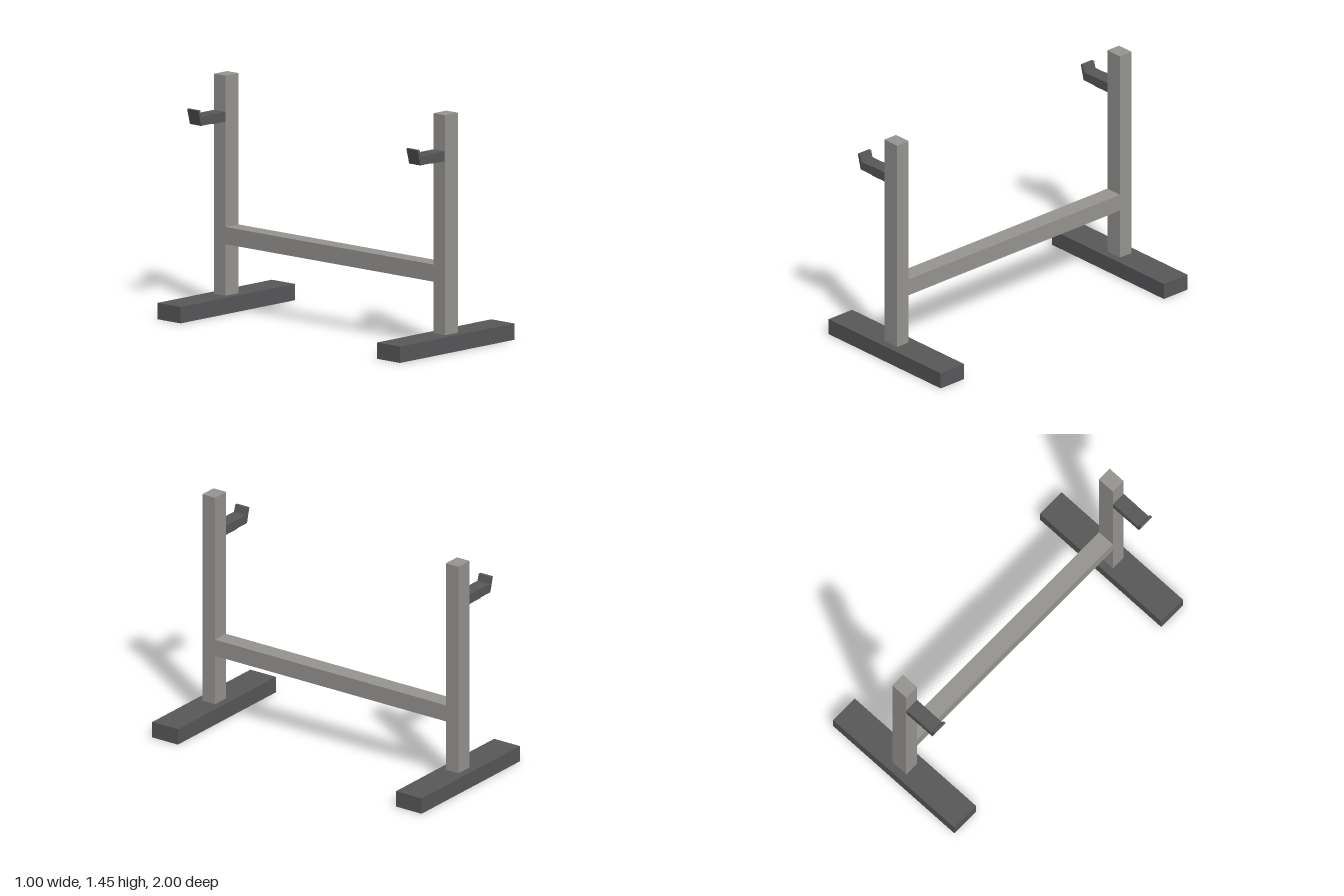
import * as THREE from 'three';

const steel = new THREE.MeshStandardMaterial({ color: 0x979592 });
steel.name = 'light grey steel';
const dark = new THREE.MeshStandardMaterial({ color: 0x58585a, side: THREE.DoubleSide });
dark.name = 'dark grey';

// Box given by its minimum and maximum corners
function box(name, material, [x0, y0, z0], [x1, y1, z1]) {
  const mesh = new THREE.Mesh(new THREE.BoxGeometry(x1 - x0, y1 - y0, z1 - z0), material);
  mesh.position.set((x0 + x1) / 2, (y0 + y1) / 2, (z0 + z1) / 2);
  mesh.name = name;
  return mesh;
}

// Foot: a thin shell, open underneath
function foot() {
  const mesh = box('foot', dark, [-0.5, 0, -0.095], [0.5, 0.1, 0.095]);
  const index = [...mesh.geometry.index.array];
  index.splice(18, 6); // drop the bottom face
  mesh.geometry.setIndex(index);
  return mesh;
}

// Hook: side profile with a slanted lip, extruded across the post
function hook() {
  const profile = [[-0.057, 1.164], [-0.17, 1.164], [-0.17, 1.168], [-0.27, 1.168], [-0.295, 1.264],
    [-0.277, 1.264], [-0.264, 1.222], [-0.17, 1.222], [-0.17, 1.225], [-0.057, 1.225]];
  const shape = new THREE.Shape(profile.map(([x, y]) => new THREE.Vector2(x, y)));
  const geometry = new THREE.ExtrudeGeometry(shape, { depth: 0.092, bevelEnabled: false });
  geometry.translate(0, 0, -0.046);
  const mesh = new THREE.Mesh(geometry, dark);
  mesh.name = 'hook';
  return mesh;
}

export function createModel() {
  const model = new THREE.Group();
  model.name = 'barbellRack';

  // Two matching stands, front and back
  for (const side of [1, -1]) {
    const stand = new THREE.Group();
    stand.name = side > 0 ? 'frontStand' : 'backStand';

    const base = foot();
    base.position.z = side * 0.905;
    const post = box('post', steel, [-0.057, 0.1, -0.047], [0.057, 1.445, 0.047]);
    post.position.z = side * 0.904;
    const arm = hook();
    arm.position.z = side * 0.904;

    stand.add(base, post, arm);
    model.add(stand);
  }

  // Beam joining the stands
  model.add(box('crossBeam', steel, [-0.057, 0.415, -0.857], [0.057, 0.52, 0.857]));
  return model;
}
